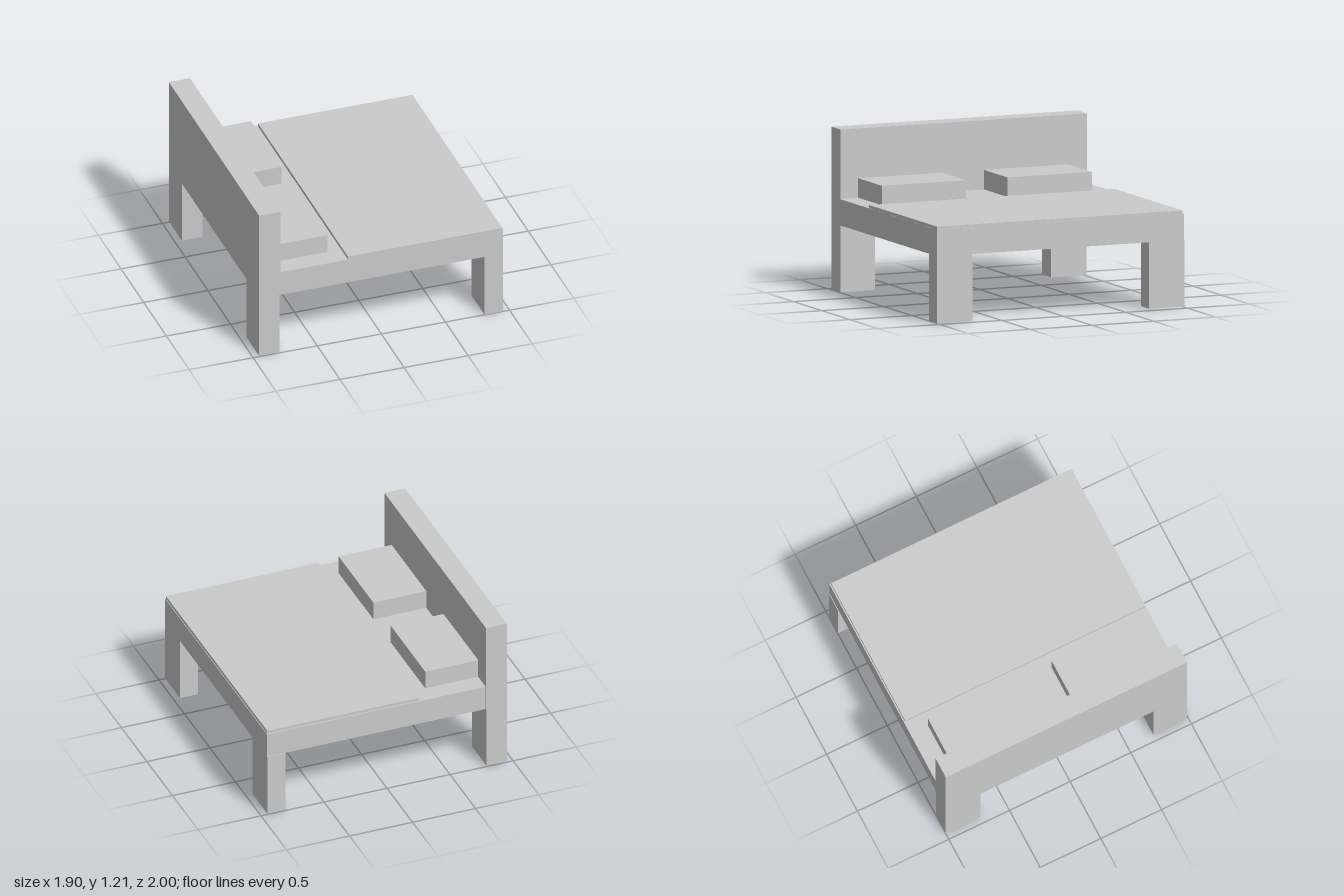
import * as THREE from 'three';

export function createModel() {
  const bed = new THREE.Group();
  bed.name = 'bed';
  const material = new THREE.MeshStandardMaterial({ color: 0xcccccc, flatShading: true });

  // Box given by its extents along each axis
  function block(name, [x0, x1], [y0, y1], [z0, z1]) {
    const mesh = new THREE.Mesh(new THREE.BoxGeometry(x1 - x0, y1 - y0, z1 - z0), material);
    mesh.position.set((x0 + x1) / 2, (y0 + y1) / 2, (z0 + z1) / 2);
    mesh.name = name;
    bed.add(mesh);
  }

  // Headboard, mattress base and blanket
  block('headboard', [-0.95, -0.785], [0.5, 1.21], [-1, 0.99]);
  block('mattress', [-0.785, 0.95], [0.5, 0.695], [-0.995, 1]);
  block('blanket', [-0.26, 0.945], [0.695, 0.72], [-0.985, 0.998]);

  // Pillows and legs, one set on each side
  for (const [side, s, foot] of [['Left', 1, 0], ['Right', -1, 0.007]]) {
    const span = (a, b) => (s > 0 ? [a, b] : [-b, -a]);
    block('pillow' + side, [-0.785, -0.365], [0.695, 0.84], span(0.168, 0.848));
    block('headLeg' + side, [-0.95, -0.79], [foot, 0.5], span(0.712, s > 0 ? 0.99 : 1));
    block('footLeg' + side, [0.805, 0.95], [foot, 0.5], span(0.712, 1));
  }
  return bed;
}
